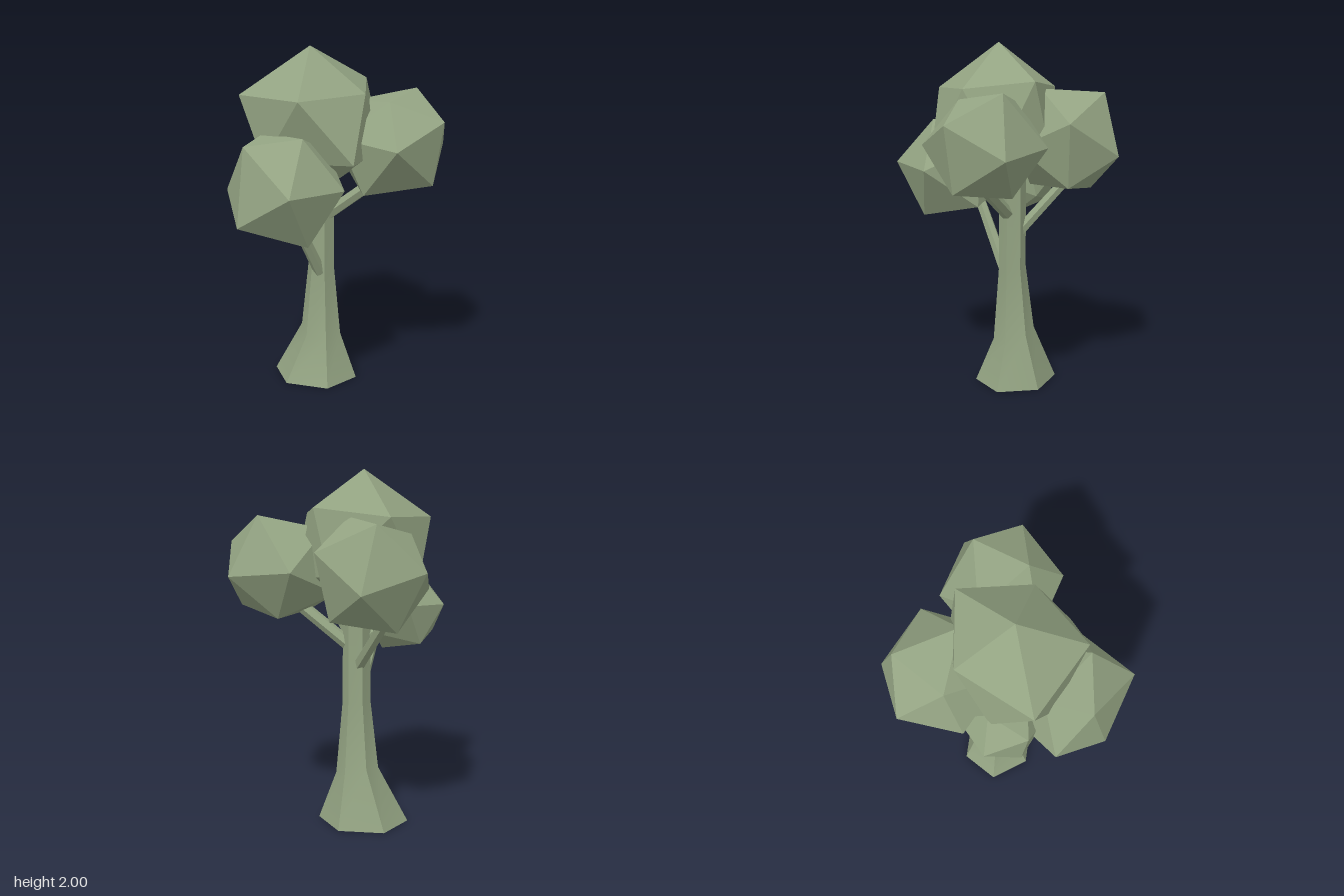
import * as THREE from 'three';
import { toCreasedNormals } from 'three/addons/utils/BufferGeometryUtils.js';

const color = 0x93a382;
const faceted = new THREE.MeshStandardMaterial({ color, flatShading: true });
const smooth = new THREE.MeshStandardMaterial({ color });
const V = (a) => new THREE.Vector3(...a);

// Rotation frame with y along a and x towards b
function frame(a, b) {
  const y = a.clone().normalize();
  const z = b.clone().cross(y).normalize();
  return new THREE.Matrix4().makeBasis(y.clone().cross(z), y, z);
}

// Irregular icosahedron: turned by its first two corners (neighbours), then
// each listed corner is pulled exactly into place
function foliage(name, center, radius, corners) {
  const c = V(center), targets = corners.map(V);
  const t = (1 + Math.sqrt(5)) / 2;
  const geo = new THREE.IcosahedronGeometry(radius, 0);
  geo.applyMatrix4(frame(V([-1, t, 0]), V([1, t, 0])).transpose());
  geo.applyMatrix4(frame(targets[0].clone().sub(c), targets[1].clone().sub(c)));
  geo.translate(...center);
  const p = geo.attributes.position;
  const v = new THREE.Vector3();
  for (let i = 0; i < p.count; i++) {
    v.fromBufferAttribute(p, i);
    const target = targets.find((q) => q.distanceTo(v) < radius * 0.5);
    if (target) p.setXYZ(i, target.x, target.y, target.z);
  }
  geo.computeVertexNormals();
  const mesh = new THREE.Mesh(geo, faceted);
  mesh.name = name;
  return mesh;
}

// Tapered six-sided limb between two points
function branch(name, from, to, r0, r1) {
  const start = V(from), dir = V(to).sub(start);
  const geo = new THREE.CylinderGeometry(r1, r0, dir.length(), 6);
  geo.translate(0, dir.length() / 2, 0);
  const mesh = new THREE.Mesh(geo, faceted);
  mesh.quaternion.setFromUnitVectors(new THREE.Vector3(0, 1, 0), dir.normalize());
  mesh.position.copy(start);
  mesh.name = name;
  return mesh;
}

// Hexagonal trunk: rings of [x, y, z, radius in x, radius in z, tilt]
function trunk() {
  const rings = [
    [-0.165, 0, -0.073, 0.259, 0.23, 0],
    [-0.13, 0.298, -0.08, 0.121, 0.119, 0.2],
    [-0.122, 0.7, -0.072, 0.08, 0.079, 0.15],
    [-0.122, 1.3, -0.072, 0.077, 0.077, 0],
  ];
  const geo = new THREE.CylinderGeometry(1, 1, 3, 6, 3, false, THREE.MathUtils.degToRad(41));
  const p = geo.attributes.position;
  for (let i = 0; i < p.count; i++) {
    const [x, y, z, rx, rz, tilt] = rings[Math.round(p.getY(i) + 1.5)];
    const dx = p.getX(i) * rx, dz = p.getZ(i) * rz;
    p.setXYZ(i, x + dx, y - tilt * (dx + dz), z + dz);
  }
  const mesh = new THREE.Mesh(toCreasedNormals(geo, 0.65), smooth);
  mesh.name = 'trunk';
  return mesh;
}

export function createModel() {
  const tree = new THREE.Group();
  tree.name = 'tree';
  tree.add(
    trunk(),
    // Limbs reaching into the leaf clumps
    branch('frontBranch', [-0.11, 0.68, -0.03], [-0.18, 1.2, 0.265], 0.036, 0.03),
    branch('backBranch', [-0.13, 0.9, -0.09], [-0.42, 1.32, -0.36], 0.036, 0.03),
    branch('leftBranch', [-0.09, 1.02, -0.072], [0.25, 1.28, -0.09], 0.038, 0.036),
    branch('rightBranch', [-0.14, 1.04, -0.06], [-0.34, 1.22, 0.02], 0.03, 0.025),
    // Leaf clumps
    foliage('crown', [-0.12, 1.58, 0.008], 0.42, [
      [-0.13, 2, 0.035], [0.205, 1.755, 0.035], [-0.02, 1.74, 0.383], [-0.47, 1.735, 0.235],
      [-0.345, 1.75, -0.21], [0.045, 1.8, -0.33], [0.23, 1.4, 0.235], [-0.29, 1.38, 0.29],
      [-0.46, 1.41, 0], [-0.05, 1.44, -0.36],
    ]),
    foliage('frontFoliage', [-0.13, 1.255, 0.338], 0.347, [
      [0.017, 1.555, 0.4], [0.07, 1.29, 0.645], [-0.275, 1.085, 0.595], [-0.285, 1.505, 0.5],
      [-0.48, 1.23, 0.366], [0.215, 1.28, 0.31], [0.065, 0.985, 0.44], [-0.21, 1.005, 0.29],
    ]),
    foliage('leftFoliage', [0.275, 1.465, -0.165], 0.338, [
      [0.593, 1.603, -0.148], [0.434, 1.47, 0.131], [0.354, 1.757, -0.34], [0.32, 1.71, -0.03],
      [0.483, 1.434, -0.45], [0.534, 1.243, -0.155], [0.206, 1.196, 0.053], [0.25, 1.2, -0.328],
    ]),
    foliage('backFoliage', [-0.28, 1.46, -0.33], 0.338, [
      [-0.352, 1.73, -0.53], [-0.593, 1.487, -0.448], [-0.307, 1.386, -0.652],
      [-0.02, 1.58, -0.51], [-0.46, 1.667, -0.23], [-0.538, 1.37, -0.12],
    ]),
    foliage('rightFoliage', [-0.36, 1.235, 0.03], 0.242, [
      [-0.597, 1.27, 0.007], [-0.503, 1.095, 0.183], [-0.254, 1.01, -0.01],
    ]),
  );
  return tree;
}
